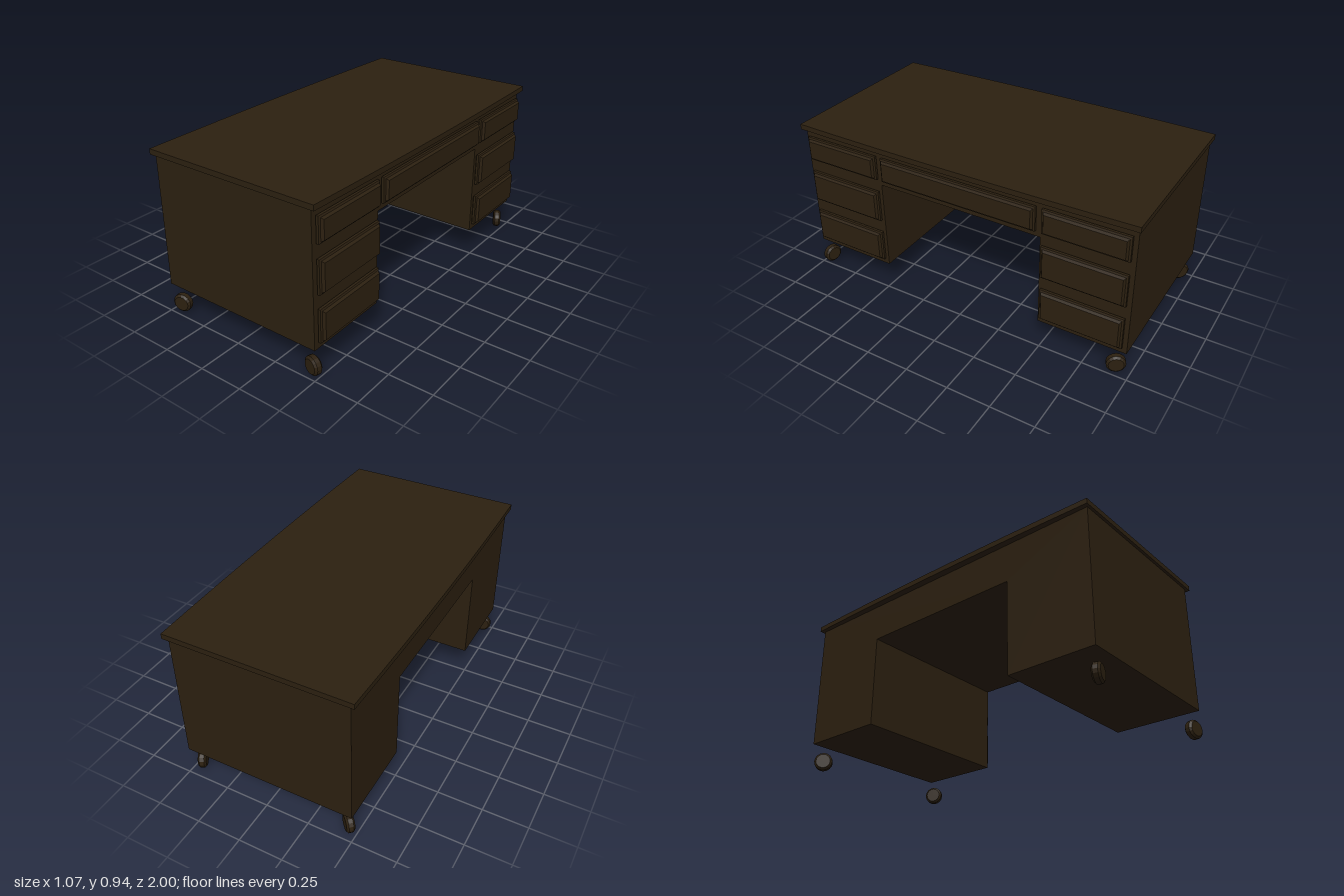
import * as THREE from 'three';

const wood = new THREE.MeshStandardMaterial({ color: 0x2c2010 });
wood.name = 'dark walnut';

function add(group, geometry, name) {
  const mesh = new THREE.Mesh(geometry, wood);
  mesh.name = name;
  group.add(mesh);
  return mesh;
}

// Drawer front facing +x: rectangular rings [x, inset] joined in a loop, then capped
function drawerGeometry(width, height) {
  const profile = [[0.485, 0.008], [0.498, 0.008], [0.498, 0], [0.512, 0],
    [0.516, 0.01], [0.53, 0.018]];
  const rings = profile.map(([x, inset]) => {
    const w = width / 2 - inset, h = height / 2 - inset;
    return [[x, -h, w], [x, -h, -w], [x, h, -w], [x, h, w]];
  });
  const points = [];
  const quad = (a, b, c, d) => points.push(...a, ...b, ...c, ...a, ...c, ...d);
  for (let i = 0; i < rings.length - 1; i++) {
    for (let k = 0; k < 4; k++) {
      const n = (k + 1) % 4;
      quad(rings[i][k], rings[i][n], rings[i + 1][n], rings[i + 1][k]);
    }
  }
  quad(...rings[rings.length - 1]);
  const geometry = new THREE.BufferGeometry();
  geometry.setAttribute('position', new THREE.Float32BufferAttribute(points, 3));
  geometry.computeVertexNormals();
  return geometry;
}

// Wheel with chamfered rims, axis along z
function wheelGeometry() {
  const r = 0.052, w = 0.0225;
  const profile = [[0, -w], [r * 0.78, -w], [r, -w * 0.55], [r, w * 0.55], [r * 0.78, w], [0, w]]
    .map(([x, y]) => new THREE.Vector2(x, y));
  const geometry = new THREE.LatheGeometry(profile, 16).toNonIndexed();
  geometry.computeVertexNormals();
  return geometry.rotateX(Math.PI / 2);
}

export function createModel() {
  const desk = new THREE.Group();
  desk.name = 'desk';

  // Two pedestals and the bridge above the kneehole, as one outline
  const outline = new THREE.Shape([
    [-0.985, 0.163], [-0.485, 0.163], [-0.485, 0.69], [0.485, 0.69],
    [0.485, 0.163], [0.985, 0.163], [0.985, 0.91], [-0.985, 0.91],
  ].map(([x, y]) => new THREE.Vector2(x, y)));
  const body = new THREE.ExtrudeGeometry(outline, { depth: 0.987, bevelEnabled: false });
  body.translate(0, 0, -0.495).rotateY(Math.PI / 2);
  add(desk, body, 'body');

  // Top with gently bowed long edges
  const bow = new THREE.Shape();
  bow.moveTo(-0.52, -1);
  bow.lineTo(0.52, -1);
  bow.quadraticCurveTo(0.548, 0, 0.52, 1);
  bow.lineTo(-0.52, 1);
  bow.quadraticCurveTo(-0.548, 0, -0.52, -1);
  const top = new THREE.ExtrudeGeometry(bow, { depth: 0.03, bevelEnabled: false, curveSegments: 8 });
  top.rotateX(-Math.PI / 2).translate(0, 0.908, 0);
  add(desk, top, 'top');

  // Three drawers in each pedestal, one wide drawer in the middle
  for (const side of [1, -1]) {
    for (const [y, height] of [[0.797, 0.14], [0.557, 0.186], [0.294, 0.186]]) {
      add(desk, drawerGeometry(0.462, height), 'pedestalDrawer').position.set(0, y, side * 0.731);
    }
  }
  add(desk, drawerGeometry(0.93, 0.14), 'centreDrawer').position.set(0, 0.797, 0);

  // Caster wheels, each swivelled differently: x, z, angle of the axle
  const wheel = wheelGeometry();
  for (const [x, z, degrees] of [[0.459, 0.958, -15], [-0.443, 0.958, 15],
    [0.46, -0.923, -62], [-0.45, -0.933, -45]]) {
    const caster = add(desk, wheel, 'caster');
    caster.position.set(x, 0.052, z);
    caster.rotation.y = THREE.MathUtils.degToRad(degrees);
  }
  return desk;
}
